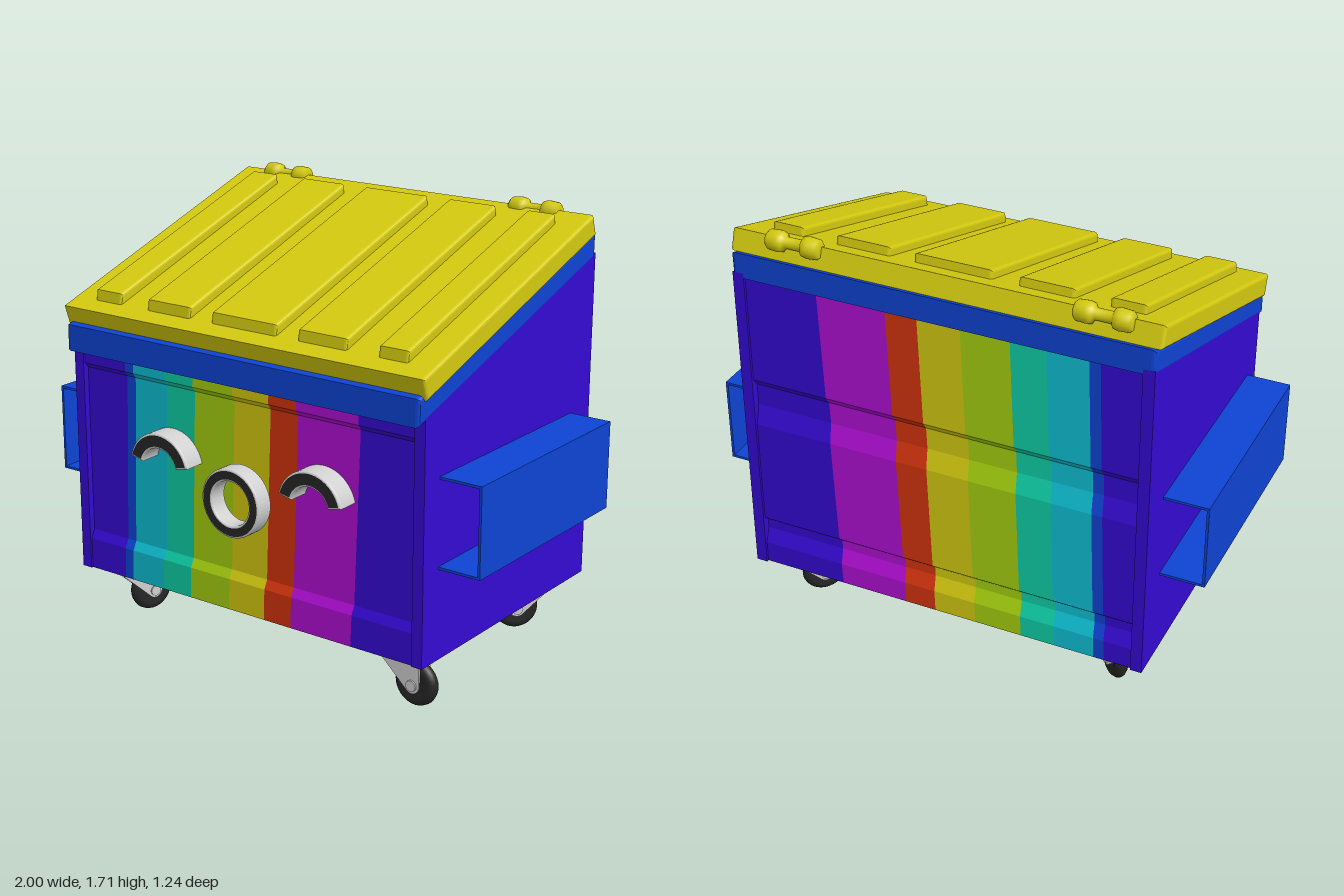
import * as THREE from 'three';

const mat = (name, color) => {
  const m = new THREE.MeshStandardMaterial({ color });
  m.name = name;
  return m;
};

export function createModel() {
  const root = new THREE.Group();
  root.name = 'dumpster';
  const indigo = mat('indigo', 0x350ad4), blue = mat('blue', 0x0e44d4), cyan = mat('cyan', 0x0ec0d4),
    teal = mat('teal', 0x0ed0a8), lime = mat('lime', 0xa4d00e), yellow = mat('yellow', 0xd4ca10),
    red = mat('red', 0xd4340e), magenta = mat('magenta', 0xb00ed4),
    grey = mat('light grey', 0xd0d0d0), black = mat('black', 0x262626);

  const add = (name, geo, material, parent = root, x = 0, y = 0, z = 0) => {
    const m = new THREE.Mesh(geo, material);
    m.name = name;
    m.position.set(x, y, z);
    parent.add(m);
    return m;
  };

  // Extrudes a [z, y] outline across x, from x0 to x1, with optional bevel kept inside the outline
  const extrudeX = (pts, x0, x1, bevel = 0) => {
    const shape = new THREE.Shape(pts.map(([z, y]) => new THREE.Vector2(z, y)));
    const g = new THREE.ExtrudeGeometry(shape, {
      depth: x1 - x0 - 2 * bevel, bevelEnabled: bevel > 0, bevelThickness: bevel,
      bevelSize: bevel, bevelOffset: -bevel, bevelSegments: 3,
    });
    return g.rotateY(-Math.PI / 2).translate(x1 - bevel, 0, 0);
  };

  // Side walls, standing slightly proud of the front and back panels
  const side = [[0.53, 0.22], [0.53, 1.18], [-0.62, 1.53], [-0.62, 0.22]];
  add('leftWall', extrudeX(side, 0.78, 0.825), indigo);
  add('rightWall', extrudeX(side, -0.825, -0.78), indigo);

  // Painted shell: one [y, z] profile down the front, under the floor and up the back
  const profile = [
    [1.18, 0.522], [1.08, 0.522], [1.06, 0.505], [0.38, 0.505], [0.345, 0.522], [0.22, 0.522],
    [0.22, -0.61], [0.31, -0.61], [0.37, -0.588], [0.41, -0.588], [0.43, -0.61],
    [0.87, -0.61], [0.95, -0.588], [1.04, -0.588], [1.07, -0.61], [1.53, -0.61],
  ];
  const strip = (left, right) => {
    const pos = [];
    for (let i = 0; i < profile.length - 1; i++) {
      const [p, q] = [profile[i], profile[i + 1]];
      const a = [left(...p), ...p], b = [left(...q), ...q], c = [right(...q), ...q], d = [right(...p), ...p];
      pos.push(...a, ...b, ...d, ...b, ...c, ...d);
    }
    const g = new THREE.BufferGeometry();
    g.setAttribute('position', new THREE.Float32BufferAttribute(pos, 3));
    g.computeVertexNormals();
    return g;
  };
  // Stripe borders lean a little with height and depth
  const border = b => (y, z) => b + 0.036 * (y - 0.22) + 0.06 * (z - 0.52);
  const borders = [() => -0.78, ...[-0.602, -0.56, -0.4, -0.262, -0.07, 0.1, 0.227, 0.505].map(border), () => 0.78];
  [indigo, blue, cyan, teal, lime, yellow, red, magenta, indigo].forEach((m, i) =>
    add('stripe' + (i + 1), strip(borders[i], borders[i + 1]), m));

  // Rim and sloping lid
  add('rim', extrudeX([[0.57, 1.135], [0.57, 1.24], [-0.62, 1.612], [-0.62, 1.51]], -0.826, 0.826, 0.018), blue);
  add('lid', extrudeX([[0.54, 1.228], [0.567, 1.312], [-0.57, 1.685], [-0.597, 1.605]], -0.84, 0.84, 0.012), yellow);
  const rib = [[0.5, 1.31], [0.492, 1.377], [-0.477, 1.69], [-0.487, 1.63]];
  [[-0.733, -0.6], [-0.47, -0.257], [-0.155, 0.15], [0.246, 0.465], [0.6, 0.727]].forEach(([a, b]) =>
    add('lidRib', extrudeX(rib, a, b, 0.012), yellow));

  // Hinge knuckles: two barrels joined by a narrow neck
  const knuckle = [[0, -0.108], [0.028, -0.108], [0.038, -0.098], [0.041, -0.06], [0.037, -0.04], [0.022, -0.03],
    [0.022, 0.03], [0.037, 0.04], [0.041, 0.06], [0.038, 0.098], [0.028, 0.108], [0, 0.108]];
  const hingeGeo = new THREE.LatheGeometry(knuckle.map(p => new THREE.Vector2(...p)), 20).rotateZ(Math.PI / 2);
  [-0.62, 0.58].forEach(x => add('hinge', hingeGeo, yellow, root, x, 1.675, -0.577));

  // Open-ended lifting sleeves on both sides
  for (const s of [-1, 1]) {
    const sleeve = new THREE.Group();
    sleeve.name = s > 0 ? 'leftSleeve' : 'rightSleeve';
    root.add(sleeve);
    add('sleeveOuter', new THREE.BoxGeometry(0.01, 0.35, 0.91), blue, sleeve, s * 0.995, 0.75, -0.02);
    for (const y of [0.58, 0.92])
      add('sleevePlate', new THREE.BoxGeometry(0.17, 0.01, 0.91), blue, sleeve, s * 0.908, y, -0.02);
  }

  // Face: black fronts with light grey edges
  const facePart = (name, shape, depth, x, y, z) => {
    const bevel = 0.008;
    const g = new THREE.ExtrudeGeometry(shape, {
      depth: depth - 2 * bevel, bevelThickness: bevel, bevelSize: bevel,
      bevelOffset: -bevel, bevelSegments: 3, curveSegments: 32,
    });
    add(name, g, [black, grey], root, x, y, z + bevel);
  };
  const eye = new THREE.Shape();
  eye.absarc(0, 0, 0.145, 0.22, Math.PI - 0.22, false);
  eye.absarc(0, 0, 0.085, Math.PI - 0.22, 0.22, true);
  facePart('rightEye', eye, 0.096, -0.345, 0.747, 0.5);
  facePart('leftEye', eye, 0.096, 0.371, 0.747, 0.5);
  const mouth = new THREE.Shape().absarc(0, 0, 0.135, 0, Math.PI * 2, false);
  mouth.holes.push(new THREE.Path().absarc(0, 0, 0.087, 0, Math.PI * 2, true));
  facePart('mouth', mouth, 0.078, 0.024, 0.7, 0.543);

  // Swivel casters: local +x is the trailing direction
  const tyre = [[0, -0.022], [0.045, -0.022], [0.06, -0.027], [0.076, -0.024], [0.087, -0.012], [0.09, 0],
    [0.087, 0.012], [0.076, 0.024], [0.06, 0.027], [0.045, 0.022], [0, 0.022]];
  const wheelGeo = new THREE.LatheGeometry(tyre.map(p => new THREE.Vector2(...p)), 32).rotateX(Math.PI / 2);
  const hubGeo = new THREE.CylinderGeometry(0.022, 0.022, 0.09, 16).rotateX(Math.PI / 2);
  const fork = new THREE.Shape();
  fork.moveTo(-0.08, 0.215);
  fork.lineTo(-0.08, 0.19);
  fork.lineTo(0.045, 0.072);
  fork.absarc(0.07, 0.092, 0.032, Math.PI * 1.22, Math.PI * 2, false);
  fork.lineTo(0.102, 0.215);
  const forkGeo = new THREE.ExtrudeGeometry(fork, { depth: 0.008, bevelEnabled: false });
  const caster = (name, x, z, dx, dz) => {
    const g = new THREE.Group();
    g.name = name;
    g.position.set(x, 0, z);
    g.rotation.y = Math.atan2(-dz, dx);
    root.add(g);
    add('wheel', wheelGeo, black, g, 0.07, 0.092, 0);
    add('hub', hubGeo, grey, g, 0.07, 0.092, 0);
    add('forkPlate', forkGeo, grey, g, 0, 0, 0.03);
    add('forkPlate', forkGeo, grey, g, 0, 0, -0.038);
    add('mountPlate', new THREE.BoxGeometry(0.18, 0.014, 0.076), grey, g, 0.01, 0.213, 0);
  };
  caster('frontLeftCaster', 0.65, 0.4, 1, 0);
  caster('frontRightCaster', -0.68, 0.38, 0.3, -0.95);
  caster('backLeftCaster', 0.69, -0.47, -0.7, 0.7);
  caster('backRightCaster', -0.69, -0.47, 0.7, 0.7);

  return root;
}
